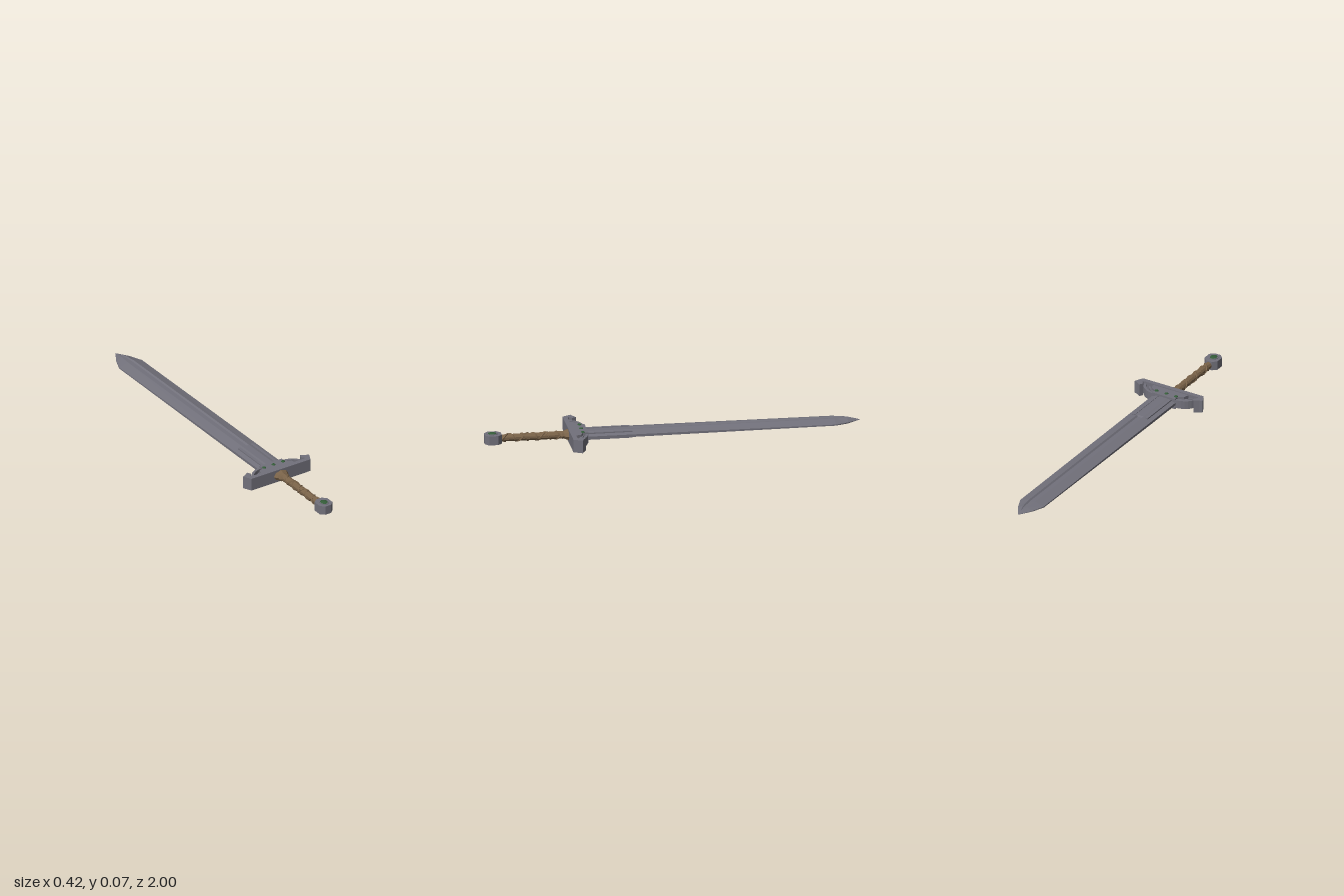
import * as THREE from 'three';

const MID = 0.035; // height of the sword's middle plane

const material = (name, color) => {
  const m = new THREE.MeshStandardMaterial({ color, flatShading: true });
  m.name = name;
  return m;
};

// Extrude an outline given as [x, z] points, centred on the middle plane
function plate(points, height) {
  const shape = new THREE.Shape(points.map(([x, z]) => new THREE.Vector2(x, z)));
  const g = new THREE.ExtrudeGeometry(shape, { depth: height, bevelEnabled: false });
  return g.rotateX(Math.PI / 2).translate(0, MID + height / 2, 0);
}

// Blade: loops of a twelve-sided, grooved section running to the point
function bladeGeometry() {
  // z, half width, half edge, groove half width, half thickness, half thickness in groove
  const stations = [
    [0.48, 0.072, 0.007, 0.02, 0.02, 0.02],
    [0.225, 0.072, 0.007, 0.02, 0.02, 0.02],
    [0.22, 0.072, 0.007, 0.02, 0.02, 0.012],
    [-0.86, 0.072, 0.003, 0.019, 0.019, 0.012],
    [-0.93, 0.044, 0.002, 0.012, 0.016, 0.011],
    [-0.97, 0.02, 0.001, 0.003, 0.008, 0.008],
    [-1, 0.0005, 0.0004, 0.0002, 0.0005, 0.0005],
  ];
  const pos = [], index = [], n = 12;
  for (const [z, w, e, r, h, g] of stations) {
    const q = r * 0.65;
    const upper = [[w, e], [r, h], [q, g], [-q, g], [-r, h], [-w, e]];
    const loop = [...upper, ...upper.map(([x, y]) => [-x, -y])];
    for (const [x, y] of loop) pos.push(x, y + MID, z);
  }
  for (let i = 0; i < stations.length - 1; i++) {
    for (let j = 0; j < n; j++) {
      const a = i * n + j, b = i * n + (j + 1) % n;
      index.push(a, a + n, b, b, a + n, b + n);
    }
  }
  const geo = new THREE.BufferGeometry();
  geo.setAttribute('position', new THREE.Float32BufferAttribute(pos, 3));
  geo.setIndex(index);
  geo.computeVertexNormals();
  return geo;
}

// Leather strip winding round the grip
function wrapGeometry(turns, direction) {
  const pts = [];
  const steps = turns * 8;
  for (let i = 0; i <= steps; i++) {
    const t = i / steps, a = direction * t * turns * Math.PI * 2;
    pts.push(new THREE.Vector3(Math.cos(a) * 0.0185, MID + Math.sin(a) * 0.0185, 0.6 + t * 0.305));
  }
  return new THREE.TubeGeometry(new THREE.CatmullRomCurve3(pts), steps * 2, 0.0055, 5);
}

export function createModel() {
  const model = new THREE.Group();
  const steel = material('steel', 0x72717b);
  const leather = material('leather', 0x7a6349);
  const green = material('greenGem', 0x345c38);

  const add = (name, geometry, mat) => {
    const mesh = new THREE.Mesh(geometry, mat);
    mesh.name = name;
    model.add(mesh);
    return mesh;
  };

  // Blade and the short ribs beside the guard
  add('blade', bladeGeometry(), steel);
  for (const s of [-1, 1]) {
    add('bladeRib', new THREE.BoxGeometry(0.016, 0.038, 0.25).translate(s * 0.04, MID, 0.345), steel);
  }

  // Guard: crossbar with hooked ends
  const half = [
    [0.187, 0.555], [0.21, 0.508], [0.195, 0.503], [0.168, 0.486],
    [0.157, 0.508], [0.172, 0.522], [0.165, 0.53],
  ];
  const mirrored = half.map(([x, z]) => [-x, z]).reverse();
  add('crossguard', plate([...half, ...mirrored], 0.07), steel);

  // Centre block of the guard
  add('guardCentre', plate([
    [0.11, 0.535], [0.1, 0.5], [0.07, 0.485], [0.07, 0.457],
    [-0.07, 0.457], [-0.07, 0.485], [-0.1, 0.5], [-0.11, 0.535],
  ], 0.06), steel);

  // Curved scrolls joining the centre block to the hooks
  for (const s of [-1, 1]) {
    [[0.164, 0.53, 0.013, 0.046], [0.135, 0.53, 0.01, 0.034]].forEach(([x1, z1, wide, h], k) => {
      const arc = (d) => new THREE.QuadraticBezierCurve(
        new THREE.Vector2(s * (x1 - d), z1),
        new THREE.Vector2(s * (x1 - 0.02 - d), 0.463 + k * 0.025 + d),
        new THREE.Vector2(s * 0.06, 0.459 + k * 0.02 + d)).getPoints(7);
      const outline = [...arc(0), ...arc(wide).reverse()].map((p) => [p.x, p.y]);
      add('guardScroll', plate(outline, h), steel);
    });
  }

  // Small gems on both faces of the guard
  for (const side of [-1, 1]) {
    for (const x of [-0.06, 0, 0.06]) {
      const gem = add('guardGem', new THREE.SphereGeometry(0.011, 10, 6), green);
      gem.scale.y = 0.45;
      gem.position.set(x, MID + side * 0.03, 0.485);
    }
  }

  // Grip, its wrapping and the flared collar
  const along = (top, bottom, length, sides, z) =>
    new THREE.CylinderGeometry(top, bottom, length, sides).rotateX(Math.PI / 2).translate(0, 0, z);
  const grip = add('grip', along(0.019, 0.021, 0.38, 10, 0.74), leather);
  grip.position.y = MID;
  add('gripWrap', wrapGeometry(5, 1), leather);
  add('gripCrossWrap', wrapGeometry(3, -1), leather);
  const collarProfile = [[0.02, 0.55], [0.046, 0.553], [0.036, 0.572], [0.03, 0.578], [0.032, 0.59], [0.02, 0.6]];
  const collar = add('gripCollar', new THREE.LatheGeometry(
    collarProfile.map(([r, z]) => new THREE.Vector2(r, z)), 8, Math.PI / 2).rotateX(Math.PI / 2), leather);
  collar.scale.y = 0.65;
  collar.position.y = MID;

  // Octagonal pommel with a gem set in each face
  const c = 0.018, w = 0.04, zc = 0.955, zl = 0.045, zm = 0.024;
  add('pommel', plate([
    [c, zc + zl], [w, zc + zm], [w, zc - zm], [c, zc - zl],
    [-c, zc - zl], [-w, zc - zm], [-w, zc + zm], [-c, zc + zl],
  ], 0.05), steel);
  for (const side of [-1, 1]) {
    const rim = add('pommelGemRim', new THREE.CylinderGeometry(0.024, 0.024, 0.006, 16), steel);
    rim.scale.z = 1.2;
    rim.position.set(0, MID + side * 0.025, zc + 0.004);
    const gem = add('pommelGem', new THREE.SphereGeometry(0.02, 16, 8), green);
    gem.scale.set(1, 0.35, 1.2);
    gem.position.set(0, MID + side * 0.026, zc + 0.004);
  }

  return model;
}
